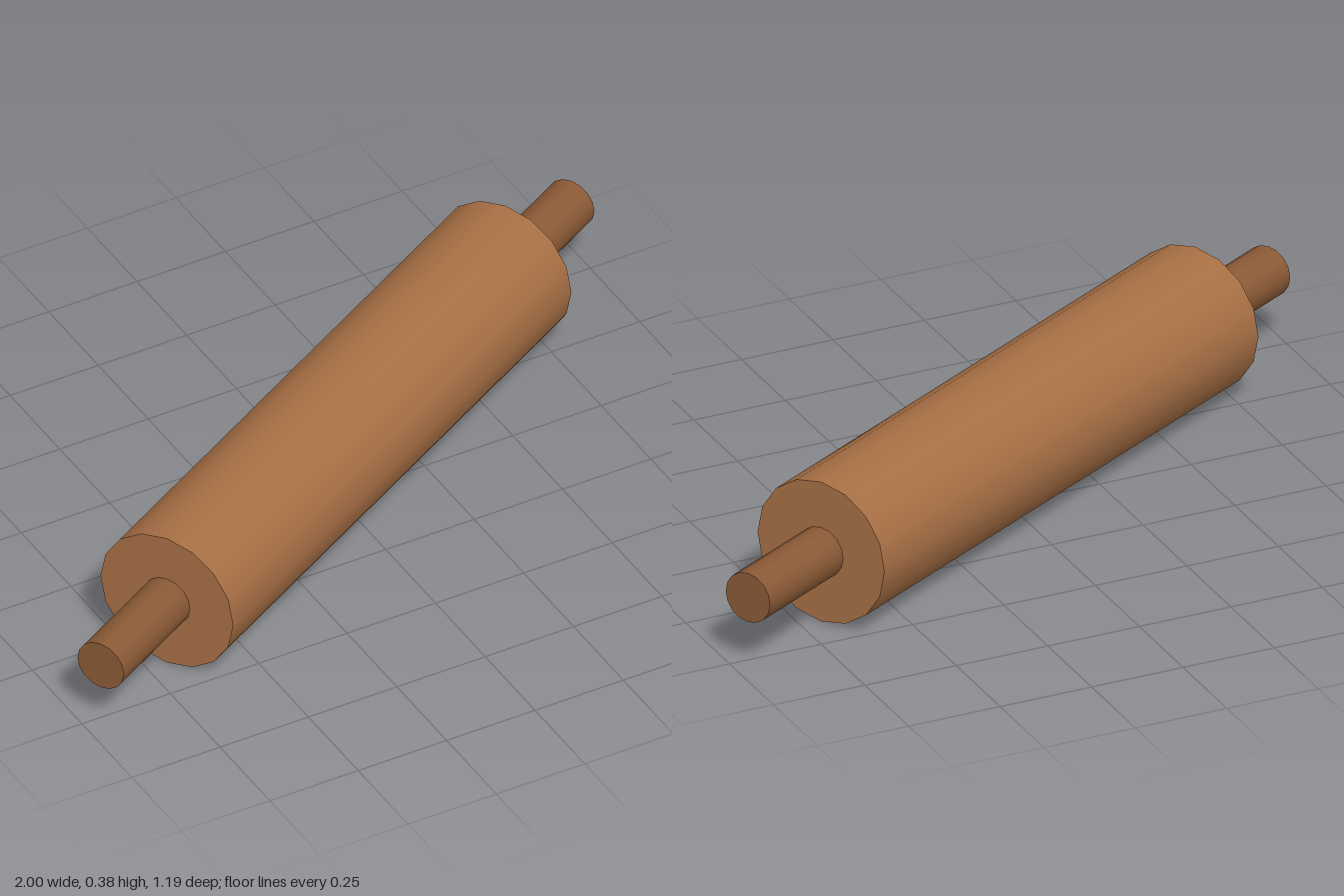
import * as THREE from 'three';

const SIDES = 16;
const BODY_RADIUS = 0.192, BODY_HALF = 0.795;
const HANDLE_RADIUS = 0.067, HANDLE_END = 1.106;

// Cylinder lying along x, from x0 to x1
function rod(name, radius, x0, x1, color) {
  const geometry = new THREE.CylinderGeometry(radius, radius, x1 - x0, SIDES);
  geometry.rotateZ(-Math.PI / 2);
  geometry.translate((x0 + x1) / 2, 0, 0);
  const mesh = new THREE.Mesh(geometry, new THREE.MeshStandardMaterial({ color }));
  mesh.name = name;
  return mesh;
}

export function createModel() {
  const group = new THREE.Group();
  group.name = 'rollingPin';

  // Thick roller
  group.add(rod('roller', BODY_RADIUS, -BODY_HALF, BODY_HALF, 0xa87045));

  // Thin handle at each end
  group.add(rod('leftHandle', HANDLE_RADIUS, BODY_HALF, HANDLE_END, 0x8b5a36));
  group.add(rod('rightHandle', HANDLE_RADIUS, -HANDLE_END, -BODY_HALF, 0x8b5a36));

  // Lies on the ground, turned so its left end points to the back
  group.rotation.y = THREE.MathUtils.degToRad(29);
  group.position.y = 0.196;

  const model = new THREE.Group();
  model.add(group);
  return model;
}
